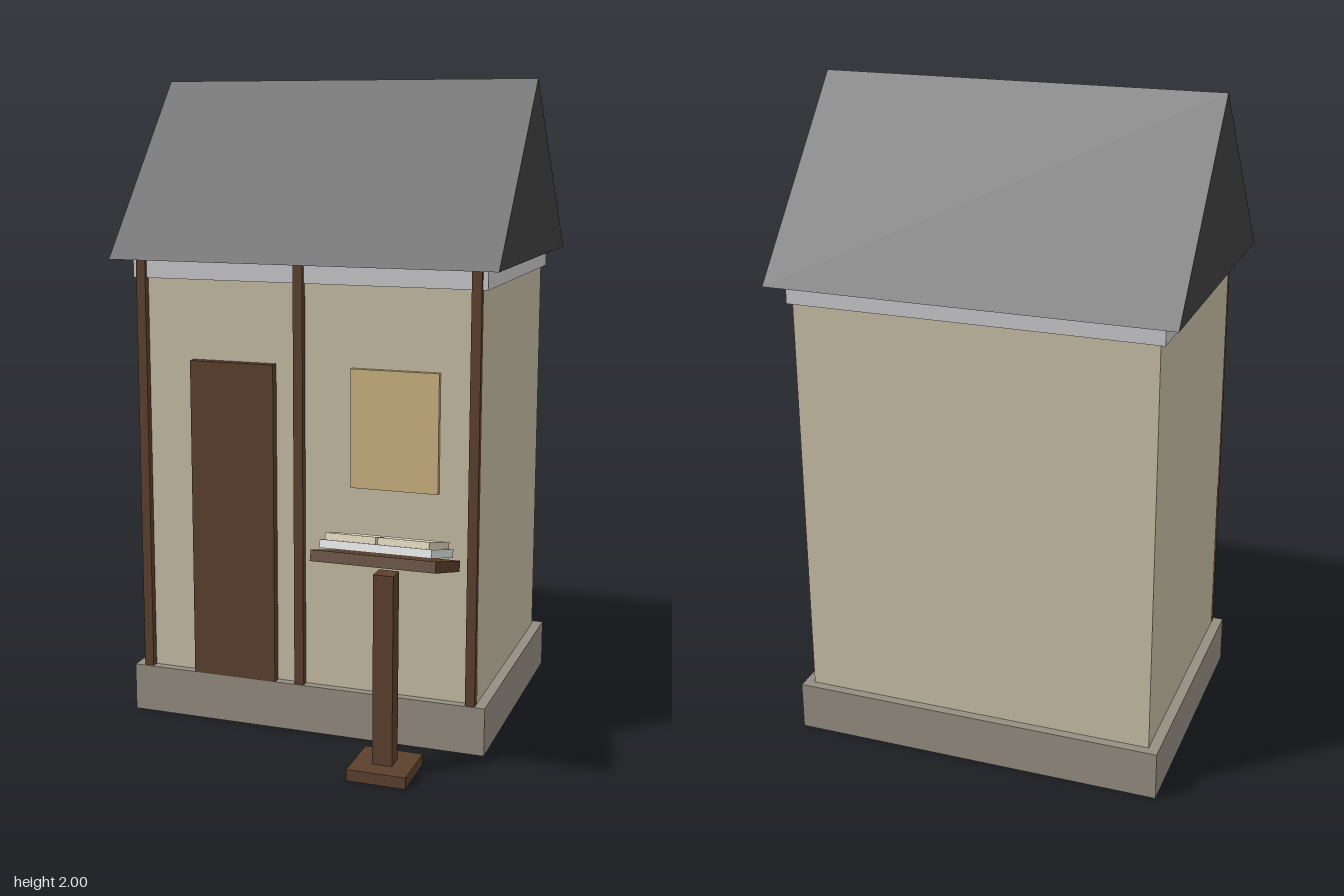
import * as THREE from 'three';

const mat = (name, color) => {
  const m = new THREE.MeshStandardMaterial({ color });
  m.name = name;
  return m;
};

export function createModel() {
  const stone = mat('stone', 0x948d81);
  const plaster = mat('plaster', 0xc7bea6);
  const wood = mat('dark wood', 0x5b402d);
  const slate = mat('roof slate', 0x414141);
  const trimGrey = mat('trim grey', 0xcacacc);
  const glass = mat('amber window', 0xccb481);
  const white = mat('book white', 0xe2e4e4);
  const paper = mat('paper', 0xddd2ba);

  const model = new THREE.Group();
  model.name = 'houseWithLectern';

  // Box given by its extents on each axis
  const box = (name, material, [x0, x1], [y0, y1], [z0, z1], parent = model) => {
    const mesh = new THREE.Mesh(new THREE.BoxGeometry(x1 - x0, y1 - y0, z1 - z0), material);
    mesh.position.set((x0 + x1) / 2, (y0 + y1) / 2, (z0 + z1) / 2);
    mesh.name = name;
    parent.add(mesh);
    return mesh;
  };

  // House body
  box('foundation', stone, [-0.577, 0.577], [0, 0.15], [-0.583, 0.266]);
  box('walls', plaster, [-0.545, 0.545], [0.15, 1.4], [-0.555, 0.239]);
  box('eavesTrim', trimGrey, [-0.56, 0.56], [1.4, 1.46], [-0.564, 0.25]);

  // Timber posts on the front
  for (const x of [-0.53, -0.016, 0.53]) {
    box('timberPost', wood, [x - 0.015, x + 0.015], [0.15, 1.46], [0.23, 0.262]);
  }

  // Door and window
  box('door', wood, [-0.366, -0.094], [0.15, 1.153], [0.235, 0.268]);
  box('window', glass, [0.149, 0.421], [0.791, 1.153], [0.235, 0.255]);

  // Solid gable roof, ridge along x
  const gable = new THREE.Shape([
    new THREE.Vector2(-0.467, 0),
    new THREE.Vector2(0.467, 0),
    new THREE.Vector2(0, 0.54),
  ]);
  const roofGeometry = new THREE.ExtrudeGeometry(gable, { depth: 1.214, bevelEnabled: false });
  roofGeometry.translate(0, 0, -0.607).rotateY(Math.PI / 2);
  const roof = new THREE.Mesh(roofGeometry, slate);
  roof.position.set(0, 1.46, -0.147);
  roof.name = 'roof';
  model.add(roof);

  // Lectern stand
  const lectern = new THREE.Group();
  lectern.name = 'lectern';
  lectern.position.set(0.332, 0, 0.476);
  model.add(lectern);
  box('foot', wood, [-0.089, 0.089], [0, 0.035], [-0.089, 0.089], lectern);
  box('post', wood, [-0.03, 0.03], [0.035, 0.607], [-0.028, 0.028], lectern);

  // Tilted desk with an open book, reader's side towards the house
  const desk = new THREE.Group();
  desk.name = 'desk';
  desk.position.y = 0.643;
  desk.rotation.x = -0.262;
  lectern.add(desk);
  box('deskBoard', wood, [-0.182, 0.182], [-0.016, 0.016], [-0.137, 0.137], desk);
  box('bookBlock', white, [-0.163, 0.163], [0.023, 0.047], [-0.121, 0.121], desk);
  for (const side of [-1, 1]) {
    const x = side * 0.0775;
    box('page', paper, [x - 0.0745, x + 0.0745], [0.047, 0.067], [-0.11, 0.11], desk);
  }

  return model;
}
